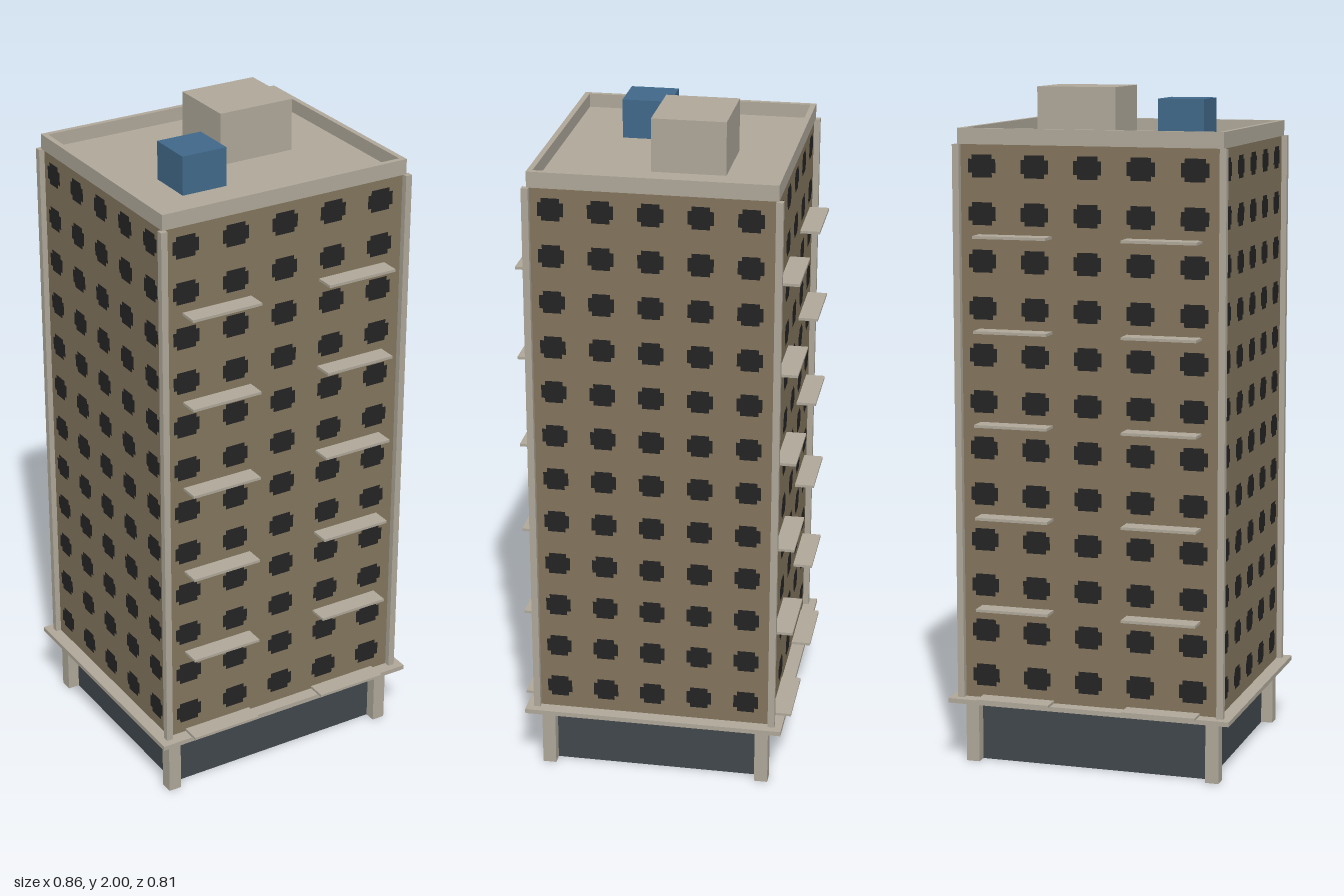
import * as THREE from 'three';

export function createModel() {
  const group = new THREE.Group();
  group.name = 'towerBlock';

  const mat = (name, color) => {
    const m = new THREE.MeshStandardMaterial({ color });
    m.name = name;
    return m;
  };
  const concrete = mat('concrete', 0xafa89a);
  const wall = mat('wall', 0x83755d);
  const darkGlass = mat('darkGlass', 0x41474d);
  const windowBlack = mat('windowBlack', 0x242424);
  const tankBlue = mat('tankBlue', 0x41698a);

  // Box given by its lower and upper bounds on each axis
  const box = (name, material, [x0, x1], [y0, y1], [z0, z1]) => {
    const mesh = new THREE.Mesh(new THREE.BoxGeometry(x1 - x0, y1 - y0, z1 - z0), material);
    mesh.position.set((x0 + x1) / 2, (y0 + y1) / 2, (z0 + z1) / 2);
    mesh.name = name;
    group.add(mesh);
  };
  const sym = (a) => [-a, a];
  const around = (c, r) => [c - r, c + r];

  const BX = 0.391, BZ = 0.348, ROOF = 1.845;

  // Ground floor, canopy slab and main body
  box('groundFloor', darkGlass, sym(0.354), [0, 0.187], sym(0.31));
  box('canopySlab', concrete, sym(0.431), [0.187, 0.201], sym(0.388));
  box('body', wall, sym(BX), [0.201, ROOF - 0.005], sym(BZ));

  // Ground floor pillars and slim corner trims
  for (const sx of [-1, 1]) {
    for (const sz of [-1, 1]) {
      box('pillar', concrete, around(sx * 0.37, 0.02), [0, 0.187], around(sz * 0.325, 0.02));
      box('cornerTrim', concrete, around(sx * 0.398, 0.01), [0.201, 1.84], around(sz * 0.356, 0.01));
    }
  }

  // Roof deck and parapet
  box('roofDeck', concrete, sym(0.385), [ROOF - 0.005, ROOF], sym(0.34));
  for (const s of [-1, 1]) {
    box('parapetLong', concrete, sym(0.397), [1.84, 1.886], around(s * 0.345, 0.008));
    box('parapetShort', concrete, around(s * 0.389, 0.008), [1.84, 1.886], sym(0.337));
  }

  // Rooftop plant room and water tank
  box('plantRoom', concrete, [-0.025, 0.213], [ROOF, 2], [-0.178, 0.036]);
  box('waterTank', tankBlue, [-0.231, -0.09], [ROOF, 1.96], [0.036, 0.177]);

  // Balcony slabs on front and back, every second floor
  for (let i = 0; i < 6; i++) {
    const y = 0.201 + i * 0.2745;
    for (const sx of [-1, 1]) {
      for (const sz of [-1, 1]) {
        box('balcony', concrete, around(sx * 0.223, 0.111), [y, y + 0.008], around(sz * 0.376, 0.03));
      }
    }
  }

  // Notched window outline, centred on (cx, cy)
  const windowShape = (cx, cy, w, h) => {
    const a = w / 2, b = h / 2, n = 0.011, m = 0.013;
    const quarter = [[a, b - m], [a - n, b - m], [a - n, b]];
    const mirrored = quarter.map(([x, y]) => [-x, y]).reverse();
    const top = [...quarter, ...mirrored];
    const all = [...top, ...top.map(([x, y]) => [-x, -y])];
    return new THREE.Shape(all.map(([x, y]) => new THREE.Vector2(cx + x, cy + y)));
  };

  // One grid of windows per side, five columns by twelve floors
  const windows = (name, pitch, width, offset, angle) => {
    const shapes = [];
    for (let row = 0; row < 12; row++) {
      for (let col = -2; col <= 2; col++) {
        shapes.push(windowShape(col * pitch - 0.005, 0.271 + row * 0.137, width, 0.066));
      }
    }
    const geometry = new THREE.ShapeGeometry(shapes);
    geometry.translate(0, 0, offset + 0.002).rotateY(angle);
    const mesh = new THREE.Mesh(geometry, windowBlack);
    mesh.name = name;
    group.add(mesh);
  };
  windows('frontWindows', 0.159, 0.083, BZ, 0);
  windows('backWindows', 0.159, 0.083, BZ, Math.PI);
  windows('leftWindows', 0.141, 0.074, BX, Math.PI / 2);
  windows('rightWindows', 0.141, 0.074, BX, -Math.PI / 2);

  return group;
}
